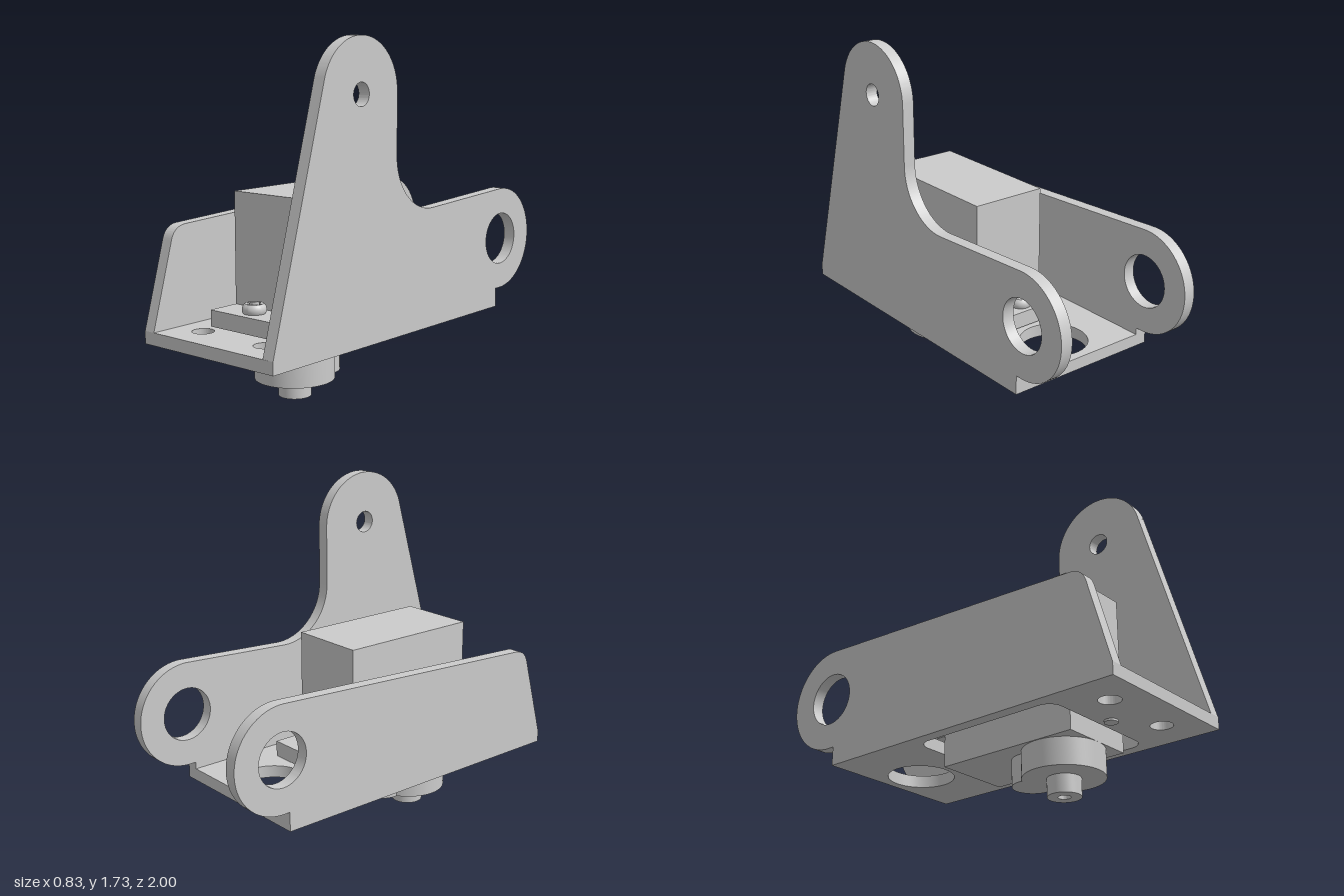
import * as THREE from 'three';
import { toCreasedNormals } from 'three/addons/utils/BufferGeometryUtils.js';

const PI = Math.PI;
const OUTER = 0.413, WALL = 0.062;
const material = new THREE.MeshStandardMaterial({ color: 0xcccccc });

function part(name, geometry) {
  const mesh = new THREE.Mesh(toCreasedNormals(geometry, 0.6), material);
  mesh.name = name;
  return mesh;
}

function box(name, w, y0, y1, z0, z1) {
  const g = new THREE.BoxGeometry(w, y1 - y0, z1 - z0);
  return part(name, g.translate(0, (y0 + y1) / 2, (z0 + z1) / 2));
}

function extrude(shape, depth) {
  return new THREE.ExtrudeGeometry(shape, { depth, bevelEnabled: false, curveSegments: 40 });
}

// Shape drawn in (x, z), filling y0..y1
const slab = (name, shape, y0, y1) =>
  part(name, extrude(shape, y1 - y0).rotateX(PI / 2).translate(0, y1, 0));

// Shape drawn in (z, y), with its +x face at x1
const wall = (name, shape, x1) =>
  part(name, extrude(shape, WALL).rotateY(-PI / 2).translate(x1, 0, 0));

const lathe = (name, points) =>
  part(name, new THREE.LatheGeometry(points.map(p => new THREE.Vector2(...p)), 40));

function hole(shape, x, y, r) {
  shape.holes.push(new THREE.Path().absarc(x, y, r, 0, 2 * PI, true));
}

// Rounded rear ear shared by both walls, closing back to the base
function rearEar(shape) {
  shape.absarc(-0.735, 0.662, 0.265, 1.521, 1.5 * PI, false);
  shape.lineTo(-0.7, 0.397);
  shape.lineTo(-0.7, 0.36);
  shape.closePath();
  hole(shape, -0.735, 0.662, 0.134);
}

function basePlate() {
  const s = new THREE.Shape([[-OUTER, -0.7], [OUTER, -0.7], [OUTER, 1], [-OUTER, 1]]
    .map(p => new THREE.Vector2(...p)));
  const w = OUTER - WALL, z0 = -0.172, z1 = 0.63, r = 0.07;
  const cut = new THREE.Path();
  cut.absarc(w - r, z1 - r, r, 0, PI / 2, false);
  cut.absarc(-w + r, z1 - r, r, PI / 2, PI, false);
  cut.absarc(-w + r, z0 + r, r, PI, 1.5 * PI, false);
  cut.absarc(w - r, z0 + r, r, 1.5 * PI, 2 * PI, false);
  cut.closePath();
  s.holes.push(cut);
  hole(s, 0, -0.487, 0.167);
  hole(s, -0.2, 0.83, 0.053);
  hole(s, 0.2, 0.83, 0.053);
  return slab('basePlate', s, 0.3, 0.362);
}

function tallWall() {
  const s = new THREE.Shape();
  s.moveTo(1, 0.36);
  s.lineTo(0.665, 1.541);
  s.absarc(0.415, 1.47, 0.26, 0.2765, PI, false);
  s.absarc(-0.12, 1.17, 0.275, 0, -1.62, true);
  rearEar(s);
  hole(s, 0.415, 1.467, 0.055);
  return wall('tallSideWall', s, OUTER);
}

function lowWall() {
  const s = new THREE.Shape();
  s.moveTo(1, 0.36);
  s.lineTo(0.88, 0.78);
  s.quadraticCurveTo(0.861, 0.847, 0.79, 0.85);
  rearEar(s);
  return wall('lowSideWall', s, WALL - OUTER);
}

// Two merged round housings under the motor body
function gearHousing() {
  const s = new THREE.Shape();
  s.absarc(0, 0.42, 0.195, -PI / 2 + 0.533, 1.5 * PI - 0.533, false);
  s.absarc(0, 0.24, 0.1, PI - 0.12, 2 * PI + 0.12, false);
  s.closePath();
  return slab('gearHousing', s, 0.088, 0.22);
}

// Pan-head screw with a four-pointed recess
function screw(z) {
  const g = new THREE.Group();
  g.name = 'screw';
  const cap = new THREE.Shape().absarc(0, 0, 0.044, 0, 2 * PI, false);
  const cross = new THREE.Path();
  const at = (r, a) => [r * Math.cos(a), r * Math.sin(a)];
  cross.moveTo(...at(0.041, -0.25));
  for (let i = 0; i < 4; i++) {
    const a = i * PI / 2;
    cross.lineTo(...at(0.041, a + 0.25));
    cross.quadraticCurveTo(...at(0.007, a + PI / 4), ...at(0.041, a + PI / 2 - 0.25));
  }
  cap.holes.push(cross);
  g.add(
    lathe('screwHead', [[0.053, 0.455], [0.058, 0.465], [0.058, 0.478], [0.054, 0.491], [0.044, 0.501]]),
    slab('screwRecess', cap, 0.47, 0.501),
    lathe('screwShaft', [[0, 0.29], [0.033, 0.29], [0.033, 0.472], [0, 0.472]])
  );
  g.position.z = z;
  return g;
}

export function createModel() {
  const model = new THREE.Group();
  model.name = 'servoBracket';

  const bracket = new THREE.Group();
  bracket.name = 'bracket';
  bracket.add(basePlate(), tallWall(), lowWall());

  const servo = new THREE.Group();
  servo.name = 'servo';
  servo.add(
    box('servoBody', 0.4, 0.22, 1, -0.14, 0.615),
    box('frontTab', 0.4, 0.375, 0.455, 0.615, 0.78),
    box('rearTab', 0.4, 0.375, 0.455, -0.308, -0.14),
    gearHousing()
  );

  // Hollow output shaft
  const shaft = lathe('outputShaft', [[0.03, 0.088], [0.03, 0], [0.08, 0], [0.08, 0.088]]);
  shaft.position.z = 0.42;
  servo.add(shaft);

  model.add(bracket, servo, screw(0.692), screw(-0.232));
  return model;
}
